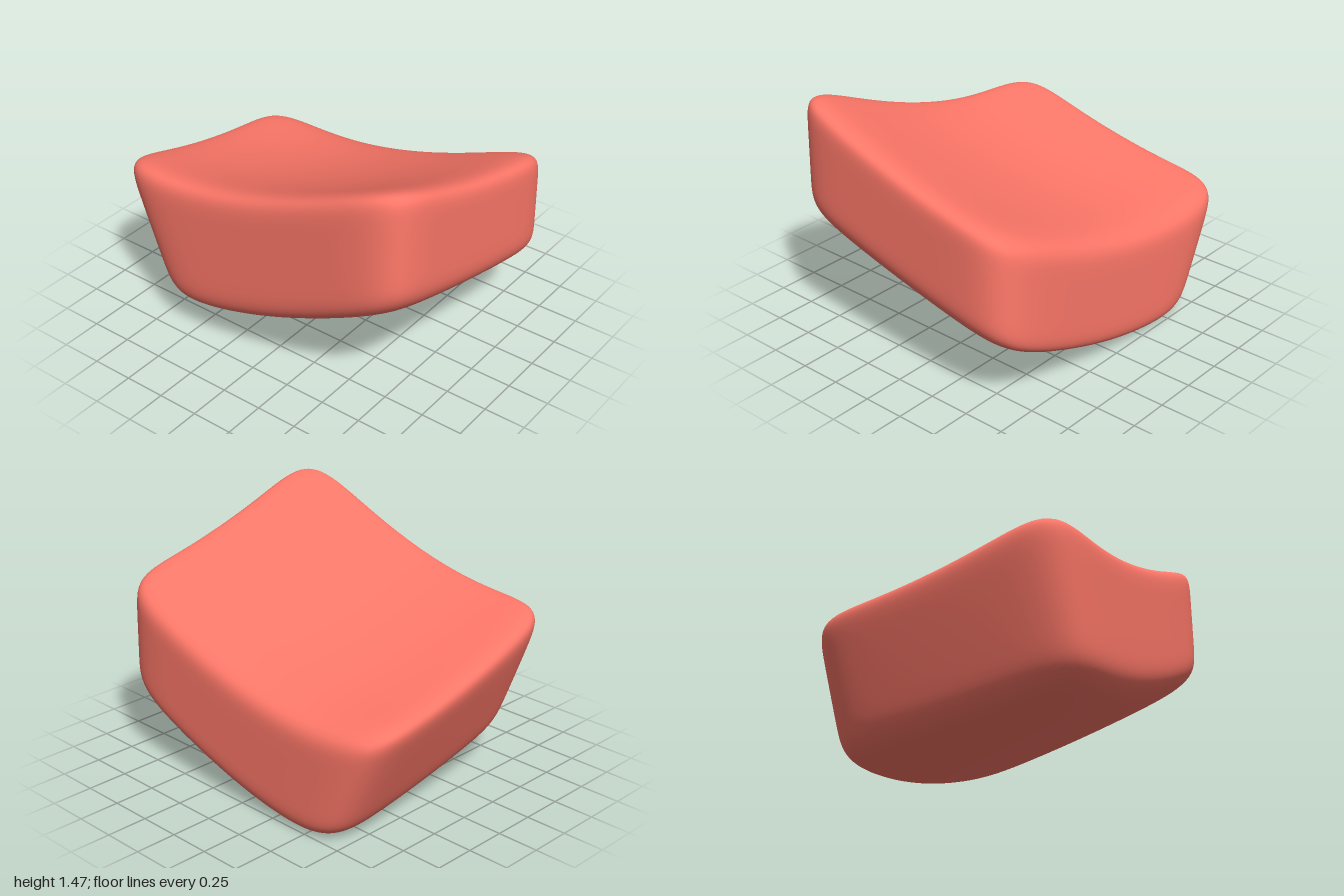
import * as THREE from 'three';
import { mergeVertices } from 'three/addons/utils/BufferGeometryUtils.js';

const ROUND = 7.7; // superellipsoid exponent: higher gives tighter edges

// dished, tilted top surface
const topHeight = (x, z) =>
  0.937 + 0.27 * z + 0.176 * z * z - 0.04 * z ** 3 - (0.28 + 0.03 * z) * x + 0.12 * x * x;

// block is slightly thicker toward -x and the back
const thickness = (x, z) =>
  0.76 - 0.026 * z - (0.092 - 0.036 * z) * x + 0.07 * x * x;

// back wall leans inward toward the bottom
const backZ = (u, v) => -0.872 - 0.178 * v - 0.028 * u;

function softBlockGeometry() {
  const box = new THREE.BoxGeometry(2, 2, 2, 48, 48, 48);
  box.deleteAttribute('uv');
  box.deleteAttribute('normal');
  const geometry = mergeVertices(box, 1e-5);
  const pos = geometry.attributes.position;
  const p = new THREE.Vector3();
  for (let i = 0; i < pos.count; i++) {
    p.fromBufferAttribute(pos, i);
    // round the cube's edges and corners
    const sum = Math.abs(p.x) ** ROUND + Math.abs(p.y) ** ROUND + Math.abs(p.z) ** ROUND;
    p.multiplyScalar(sum ** (-1 / ROUND));
    // bend it between the front wall, the leaning back wall and the dished top
    const x = 0.782 * p.x;
    const z = THREE.MathUtils.lerp(backZ(p.x, p.y), 1, (p.z + 1) / 2);
    const y = topHeight(x, z) - thickness(x, z) * (1 - p.y) / 2;
    pos.setXYZ(i, x, y, z);
  }
  // stand on the ground, centred
  geometry.computeBoundingBox();
  const { min, max } = geometry.boundingBox;
  geometry.translate(-(min.x + max.x) / 2, -min.y, -(min.z + max.z) / 2);
  geometry.computeVertexNormals();
  return geometry;
}

export function createModel() {
  const group = new THREE.Group();
  const block = new THREE.Mesh(
    softBlockGeometry(),
    new THREE.MeshStandardMaterial({ color: 0xff7869 })
  );
  block.name = 'dishedBlock';
  group.add(block);
  return group;
}
